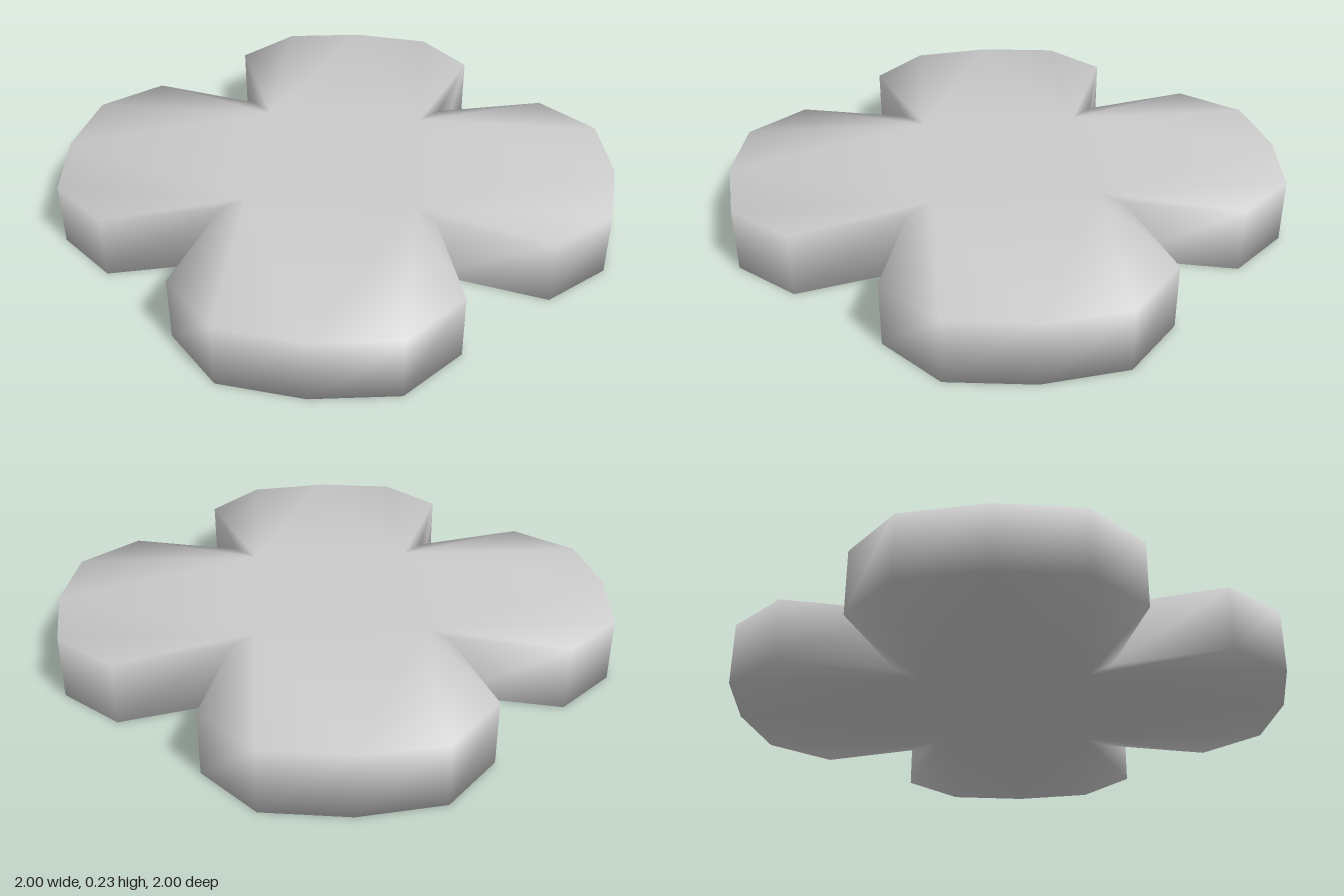
import * as THREE from 'three';

const BOTTOM = 0.003, TOP = 0.232;

// One lobe of the outline, starting at a notch; the others are quarter turns of it.
const LOBE = [[0.365, 0.365], [0.467, 0.76], [0.29, 0.96], [0, 1], [-0.29, 0.96], [-0.467, 0.76]];
const INNER = [0.29, 0.29];

function quarterTurns([x, z], n) {
  for (let i = 0; i < n; i++) [x, z] = [-z, x];
  return [x, z];
}

function slabGeometry() {
  // Plan points: 24 around the outline, then 4 corners of the central square
  const plan = [];
  for (let q = 0; q < 4; q++) for (const p of LOBE) plan.push(quarterTurns(p, q));
  const rim = plan.length;
  for (let q = 0; q < 4; q++) plan.push(quarterTurns(INNER, q));
  const n = plan.length;

  const positions = [];
  for (const y of [TOP, BOTTOM]) for (const [x, z] of plan) positions.push(x, y, z);

  // Matching top and bottom faces
  const index = [];
  const cap = (a, b, c) => index.push(a, c, b, a + n, b + n, c + n);
  for (let q = 0; q < 4; q++) {
    const at = (i) => (q * LOBE.length + i) % rim;
    const a = rim + q, b = rim + (q + 1) % 4;
    for (let i = 0; i < 3; i++) cap(a, at(i), at(i + 1));
    cap(a, at(3), b);
    for (let i = 3; i < 6; i++) cap(b, at(i), at(i + 1));
  }
  cap(rim, rim + 1, rim + 2);
  cap(rim, rim + 2, rim + 3);

  // Upright walls, sharing vertices with the caps for soft shading
  for (let i = 0; i < rim; i++) {
    const j = (i + 1) % rim;
    index.push(j + n, i + n, i, j + n, i, j);
  }

  const geometry = new THREE.BufferGeometry();
  geometry.setAttribute('position', new THREE.Float32BufferAttribute(positions, 3));
  geometry.setIndex(index);
  geometry.computeVertexNormals();
  return geometry;
}

export function createModel() {
  const group = new THREE.Group();
  const slab = new THREE.Mesh(slabGeometry(), new THREE.MeshStandardMaterial({ color: 0xcccccc }));
  slab.name = 'fourLobedSlab';
  group.add(slab);
  return group;
}
